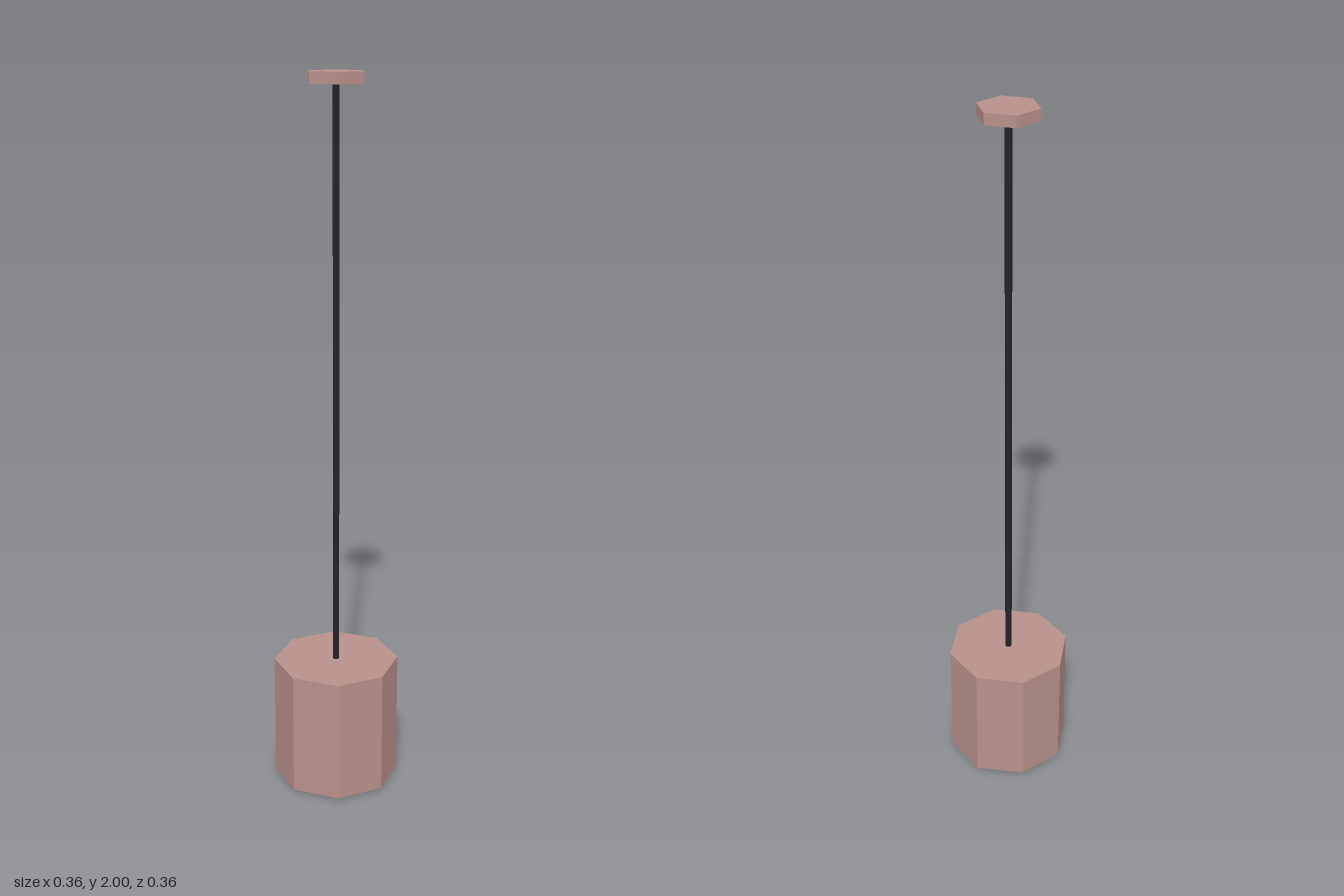
import * as THREE from 'three';

function material(name, color) {
  const m = new THREE.MeshStandardMaterial({ color, flatShading: true });
  m.name = name;
  return m;
}

export function createModel() {
  const group = new THREE.Group();
  group.name = 'pendantLamp';

  const rose = material('dustyRose', 0xb8908a);
  const black = material('cordBlack', 0x222228);
  const glow = material('paleYellow', 0xdcd098);

  // Upright prism between two heights
  function prism(name, radius, y0, y1, sides, mat) {
    const mesh = new THREE.Mesh(new THREE.CylinderGeometry(radius, radius, y1 - y0, sides), mat);
    mesh.name = name;
    mesh.position.y = (y0 + y1) / 2;
    group.add(mesh);
  }

  prism('ceilingCanopy', 0.081, 1.97, 2, 6, rose);
  prism('cord', 0.01, 0.35, 1.975, 6, black);
  prism('shade', 0.178, 0.005, 0.36, 8, rose);
  // Light panel standing slightly proud of the underside
  prism('lightPanel', 0.15, 0, 0.009, 8, glow);

  return group;
}
